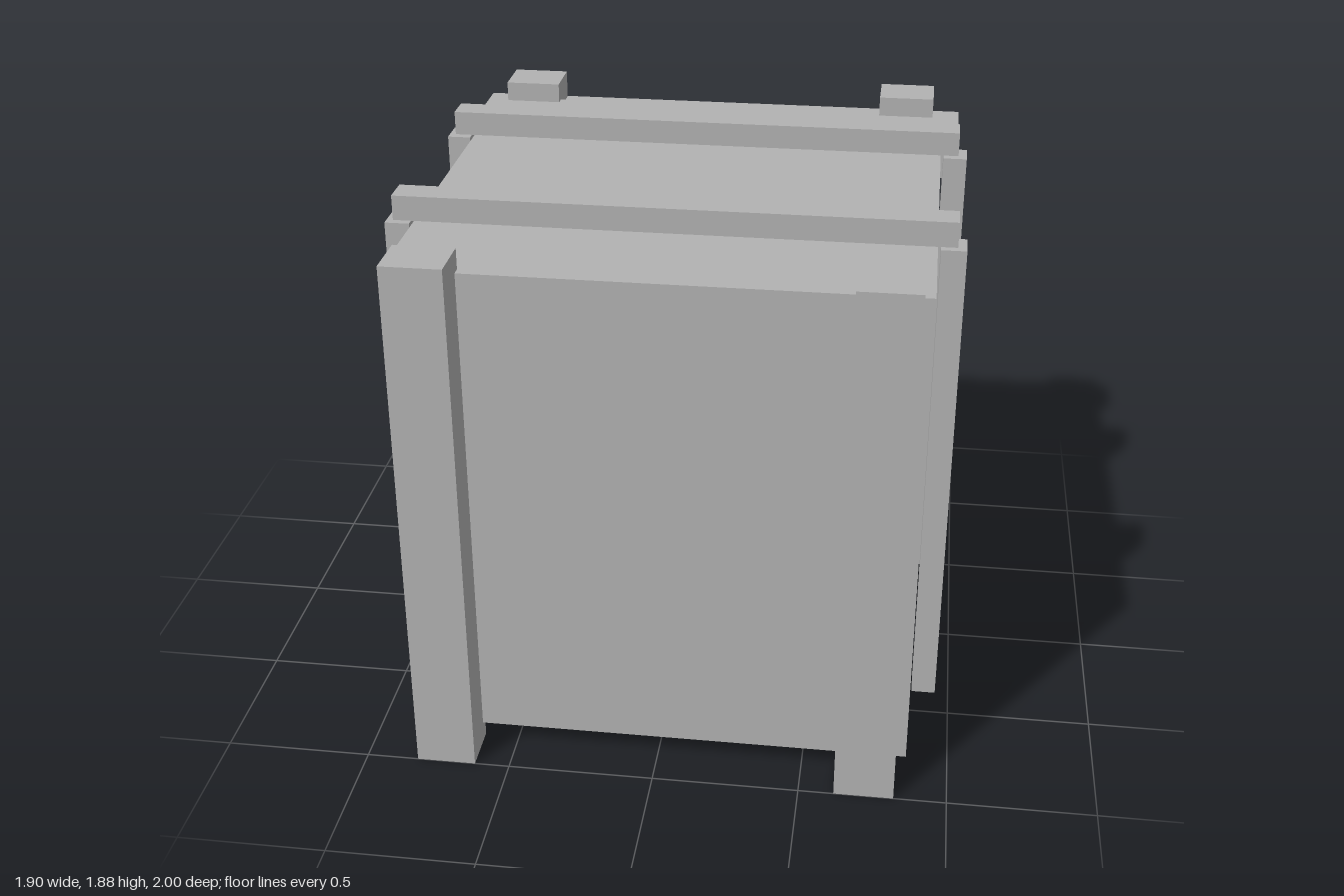
import * as THREE from 'three';

export function createModel() {
  const crate = new THREE.Group();
  crate.name = 'crate';
  const grey = new THREE.MeshStandardMaterial({ color: 0xb2b2b2 });
  grey.name = 'plain grey';

  // Box given by its extents along each axis
  function addBox(name, [x0, x1], [y0, y1], [z0, z1]) {
    const mesh = new THREE.Mesh(new THREE.BoxGeometry(x1 - x0, y1 - y0, z1 - z0), grey);
    mesh.name = name;
    mesh.position.set((x0 + x1) / 2, (y0 + y1) / 2, (z0 + z1) / 2);
    crate.add(mesh);
  }

  // Main box
  addBox('body', [-0.857, 0.857], [0.072, 1.786], [-0.857, 0.862]);

  for (const [side, s] of [['left', 1], ['right', -1]]) {
    const span = (a, b) => (s > 0 ? [a, b] : [-b, -a]);

    // Corner posts, which also serve as feet
    addBox(side + 'FrontPost', span(0.62, 0.822), [0, 1.857], [0.829, 1]);
    addBox(side + 'BackPost', span(0.62, 0.822), [0, 1.857], [-0.994, -0.824]);

    // Upright battens, standing just clear of the sides
    addBox(side + 'FrontBatten', span(0.867, 0.95), [0.072, 1.786], [0.38, 0.482]);
    addBox(side + 'BackBatten', span(0.867, 0.95), [0.072, 1.786], [-0.476, -0.375]);
  }

  // Battens across the lid, with the same small gap
  addBox('frontLidBatten', [-0.92, 0.92], [1.797, 1.882], [0.38, 0.482]);
  addBox('backLidBatten', [-0.92, 0.92], [1.797, 1.882], [-0.476, -0.375]);

  // Rails across the back posts
  addBox('lowerBackRail', [-0.922, 0.922], [0.105, 0.31], [-1, -0.811]);
  addBox('upperBackRail', [-0.922, 0.922], [1.55, 1.755], [-1, -0.811]);

  return crate;
}
